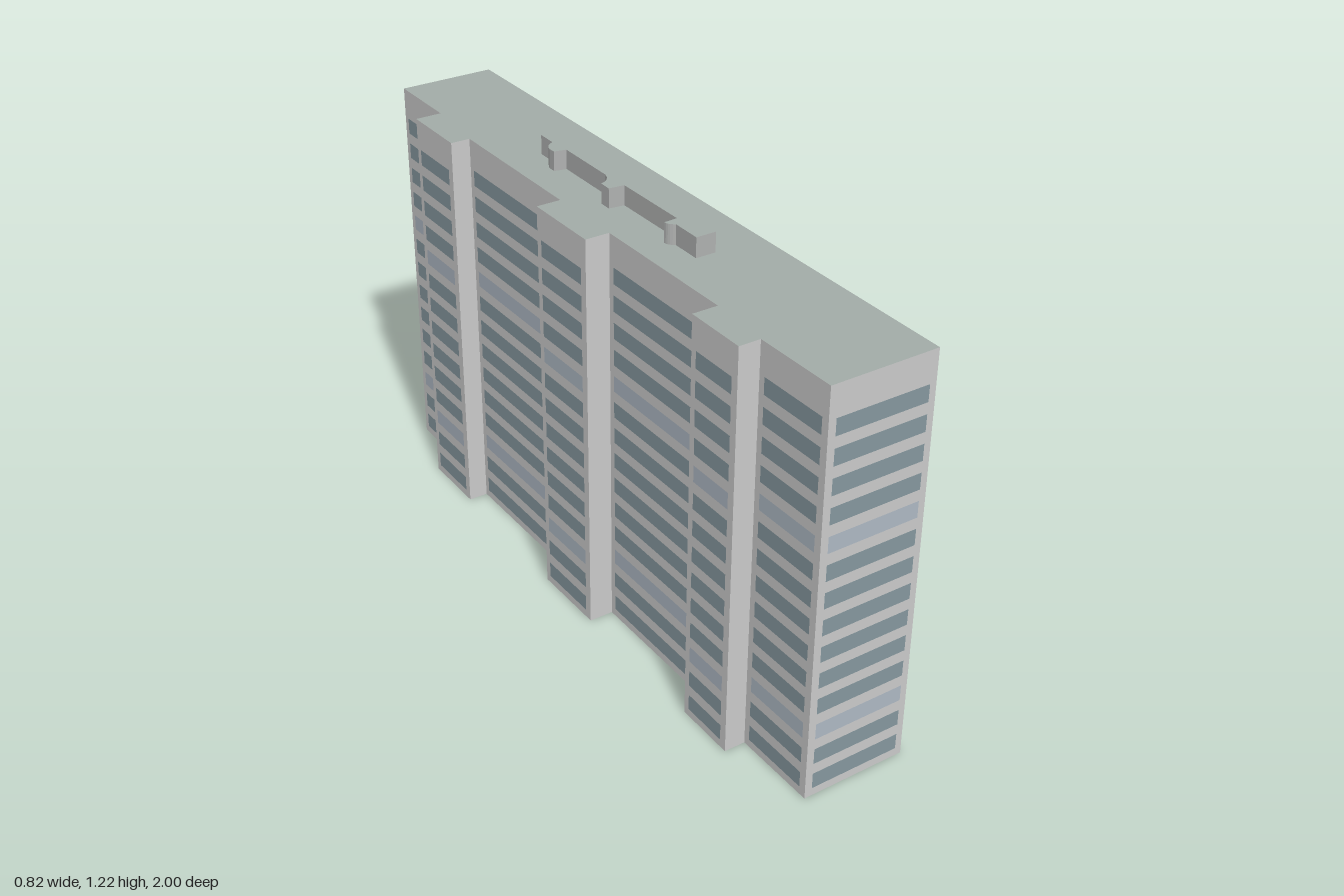
import * as THREE from 'three';
import { mergeGeometries } from 'three/addons/utils/BufferGeometryUtils.js';

const HEIGHT = 1.16, ROWS = 14, ROW_PITCH = 0.0772, WINDOW_HEIGHT = 0.046;

// Floor plan, anticlockwise: [along, across, window columns on the wall that starts here]
const PLAN = [
  [0, 0, 8], [2, 0, 1],
  [2, 0.28, 1], [1.776, 0.28, 0],
  [1.776, 0.356, 1], [1.572, 0.356, 0],
  [1.572, 0.3, 1], [1.1, 0.298, 0],
  [1.1, 0.367, 1], [0.872, 0.365, 0],
  [0.872, 0.296, 1], [0.42, 0.293, 0],
  [0.42, 0.364, 1], [0.242, 0.364, 0],
  [0.242, 0.304, 1], [0, 0.301, 1],
];

const material = (color, side = THREE.FrontSide) =>
  new THREE.MeshStandardMaterial({ color, side, flatShading: true });

function part(name, geometry, mat) {
  const mesh = new THREE.Mesh(geometry, mat);
  mesh.name = name;
  return mesh;
}

// Upright rectangle on the wall a-b, centred at distance d along it, pushed out by off
function panel(a, b, d, y, w, h, off) {
  const ds = b[0] - a[0], dt = b[1] - a[1], len = Math.hypot(ds, dt);
  const ux = ds / len, ut = dt / len;
  return new THREE.PlaneGeometry(w, h)
    .rotateY(Math.atan2(dt, ds))
    .translate(a[0] + ux * d + ut * off, y, -(a[1] + ut * d - ux * off));
}

// Low rooftop block with a straight front and three flared fins at the back
function roofBlockShape() {
  const s = new THREE.Shape();
  s.moveTo(0.643, 0.141);
  s.lineTo(1.375, 0.141);
  s.lineTo(1.375, 0.189);
  s.lineTo(1.318, 0.189);
  s.quadraticCurveTo(1.305, 0.215, 1.285, 0.218);
  s.lineTo(1.262, 0.218);
  s.lineTo(1.255, 0.184);
  s.lineTo(1.068, 0.184);
  s.quadraticCurveTo(1.035, 0.188, 1.025, 0.222);
  s.lineTo(0.99, 0.222);
  s.lineTo(0.985, 0.179);
  s.lineTo(0.755, 0.177);
  s.lineTo(0.753, 0.215);
  s.quadraticCurveTo(0.738, 0.215, 0.728, 0.198);
  s.lineTo(0.643, 0.198);
  s.closePath();
  return s;
}

export function createModel() {
  const model = new THREE.Group();
  model.name = 'apartmentBlock';
  const building = new THREE.Group();
  building.name = 'building';
  building.position.set(-0.12, 0, 1);
  building.rotation.y = Math.atan2(0.9643, 0.2648);
  model.add(building);

  const walls = [], windows = [], paleWindows = [];
  PLAN.forEach((a, i) => {
    const b = PLAN[(i + 1) % PLAN.length], columns = a[2];
    const len = Math.hypot(b[0] - a[0], b[1] - a[1]);
    walls.push(panel(a, b, len / 2, HEIGHT / 2, len, HEIGHT, 0));

    // Window bands, with a diagonal run of paler panes
    const margin = 0.02, gap = 0.009;
    const pitch = columns && (len - 2 * margin + gap) / columns;
    for (let c = 0; c < columns; c++) {
      for (let r = 0; r < ROWS; r++) {
        const y = 0.0475 + (ROWS - 1 - r) * ROW_PITCH;
        const d = margin + c * pitch + (pitch - gap) / 2;
        const list = (r + c) % 7 === 4 ? paleWindows : windows;
        list.push(panel(a, b, d, y, pitch - gap, WINDOW_HEIGHT, 0.0015));
      }
    }
  });
  building.add(
    part('walls', mergeGeometries(walls), material(0xcccccc, THREE.DoubleSide)),
    part('windows', mergeGeometries(windows), material(0x86989f)),
    part('paleWindows', mergeGeometries(paleWindows), material(0xaeb9c4)),
  );

  // Flat roof; the underside of the building stays open
  const plan = new THREE.Shape(PLAN.map(([s, t]) => new THREE.Vector2(s, t)));
  const roofMat = material(0xa3aca8, THREE.DoubleSide);
  const roof = part('roof', new THREE.ShapeGeometry(plan).rotateX(-Math.PI / 2), roofMat);
  roof.position.y = HEIGHT;
  building.add(roof);

  // Rooftop block
  const block = new THREE.ExtrudeGeometry(roofBlockShape(), { depth: 0.055, bevelEnabled: false, curveSegments: 5 });
  const roofBlock = part('roofBlock', block.rotateX(-Math.PI / 2), [roofMat, material(0xb0b2b1)]);
  roofBlock.position.y = HEIGHT;
  building.add(roofBlock);

  return model;
}
